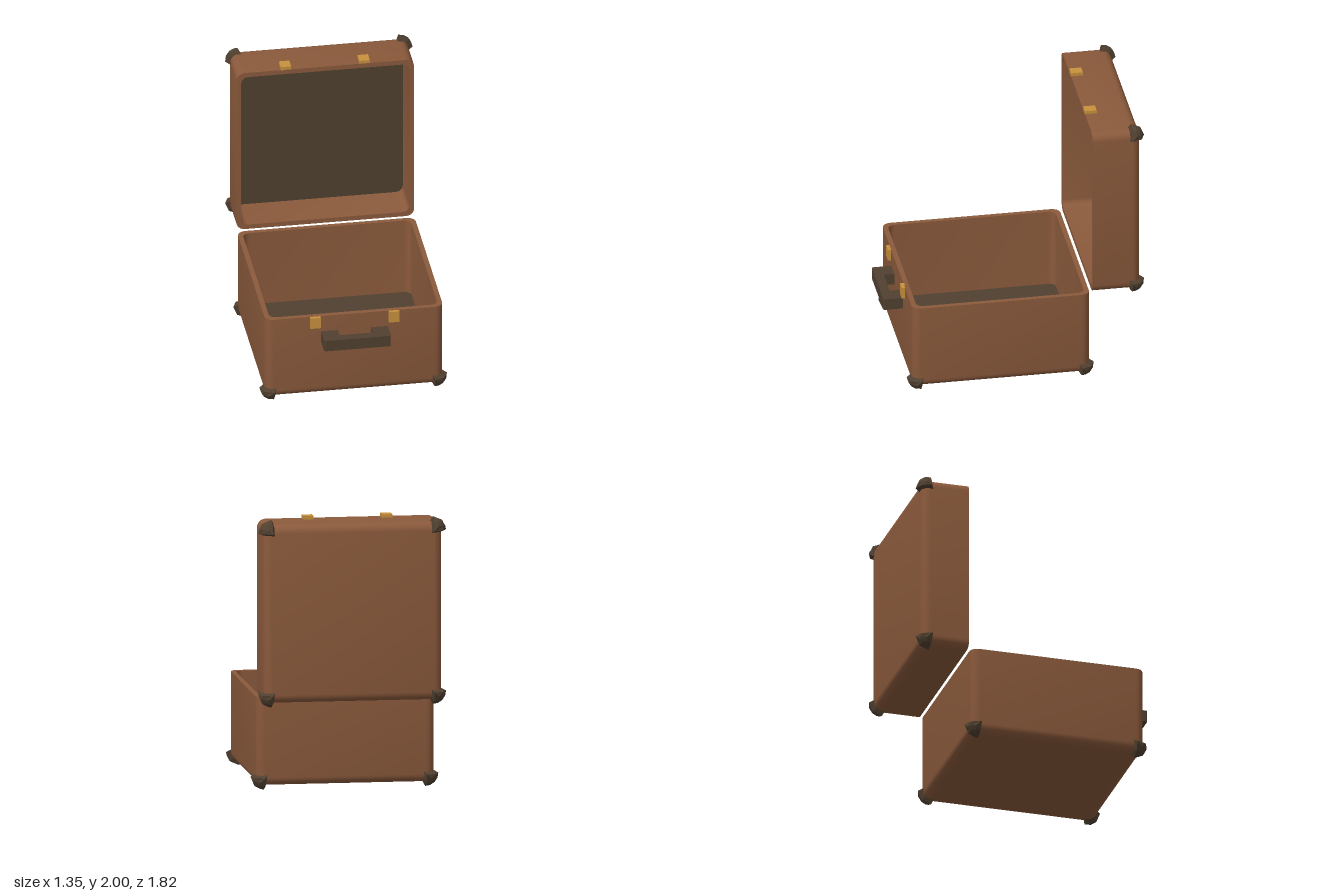
import * as THREE from 'three';
import { toCreasedNormals } from 'three/addons/utils/BufferGeometryUtils.js';

const HALF = 0.64;   // half width of both halves of the case
const R = 0.06;      // outer edge radius
const WALL = 0.035;

const leather = new THREE.MeshStandardMaterial({ color: 0x8b5a3c });
const dark = new THREE.MeshStandardMaterial({ color: 0x504030 });
const darkFlat = new THREE.MeshStandardMaterial({ color: 0x504030, flatShading: true });
const brass = new THREE.MeshStandardMaterial({ color: 0xc8903c });

function add(group, name, geometry, material, x = 0, y = 0, z = 0) {
  const mesh = new THREE.Mesh(geometry, material);
  mesh.name = name;
  mesh.position.set(x, y, z);
  group.add(mesh);
  return mesh;
}

// Skin a series of closed rings, skipping collapsed triangles
function loft(rings) {
  const points = [];
  const tri = new THREE.Triangle();
  const face = (a, b, c) => {
    if (tri.set(a, b, c).getArea() > 1e-9) points.push(a, b, c);
  };
  for (let i = 0; i < rings.length - 1; i++) {
    const p = rings[i], q = rings[i + 1];
    for (let j = 0; j < p.length; j++) {
      const k = (j + 1) % p.length;
      face(p[j], q[j], p[k]);
      face(p[k], q[j], q[k]);
    }
  }
  const geometry = new THREE.BufferGeometry().setFromPoints(points);
  geometry.computeVertexNormals();
  return geometry;
}

// Horizontal rounded square
function ring([inset, radius, y]) {
  const c = HALF - inset - radius, pts = [];
  for (let q = 0; q < 4; q++) {
    const mid = (q + 0.5) * Math.PI / 2;
    for (let s = 0; s <= 5; s++) {
      const a = (q + s / 5) * Math.PI / 2;
      pts.push(new THREE.Vector3(
        Math.sign(Math.cos(mid)) * c + radius * Math.cos(a), y,
        Math.sign(Math.sin(mid)) * c + radius * Math.sin(a)));
    }
  }
  return pts;
}

// Faceted corner guard: an eighth of a ball with a bevelled rim
function cornerGeometry() {
  const axes = [new THREE.Vector3(1, 0, 0), new THREE.Vector3(0, 1, 0), new THREE.Vector3(0, 0, 1)];
  const centre = new THREE.Vector3(1, 1, 1).normalize();
  const rim = [];
  axes.forEach((axis, i) => {
    for (let s = 0; s < 2; s++) rim.push(axis.clone().lerp(axes[(i + 1) % 3], s / 2).normalize());
  });
  const rings = [0, 0.5, 1].map(t =>
    rim.map(v => centre.clone().lerp(v, t).normalize().multiplyScalar(0.095)));
  rings.push(rim.map(v => v.clone().multiplyScalar(0.076).addScalar(-0.02)));
  return loft(rings).rotateX(Math.PI / 2);
}

// One half of the case: open-topped tray with lining, corner guards and latches
function caseHalf(name, height, latchSide) {
  const group = new THREE.Group();
  group.name = name;
  const profile = [[HALF, 0, 0]];
  for (let s = 0; s <= 5; s++) {
    const a = s / 5 * Math.PI / 2;
    const inset = R * (1 - Math.sin(a));
    profile.push([inset, R - inset, R * (1 - Math.cos(a))]);
  }
  profile.push([0, R, height], [WALL, 0.05, height], [WALL, 0.05, 0.045], [HALF, 0, 0.045]);
  add(group, name + 'Shell', toCreasedNormals(loft(profile.map(ring)), 0.6), leather);

  const lining = [[WALL, 0.05, 0.045], [WALL, 0.05, 0.055], [HALF, 0, 0.055]];
  add(group, name + 'Lining', toCreasedNormals(loft(lining.map(ring)), 0.6), dark);

  const corner = cornerGeometry();
  const c = HALF - R;
  [[1, 1], [1, -1], [-1, -1], [-1, 1]].forEach(([x, z], i) => {
    add(group, 'cornerGuard', corner, darkFlat, x * c, R, z * c).rotation.y = i * Math.PI / 2;
  });

  for (const side of [-1, 1]) {
    add(group, 'latch', new THREE.BoxGeometry(0.075, 0.085, 0.03), brass,
      side * 0.283, height - 0.0425, latchSide * (HALF + 0.009));
  }
  return group;
}

// Flat U-shaped carrying handle
function handleGeometry() {
  const s = new THREE.Shape();
  s.moveTo(-0.24, 0);
  s.lineTo(-0.24, 0.127);
  s.quadraticCurveTo(-0.24, 0.142, -0.225, 0.142);
  s.lineTo(0.225, 0.142);
  s.quadraticCurveTo(0.24, 0.142, 0.24, 0.127);
  s.lineTo(0.24, 0);
  s.lineTo(0.12, 0);
  s.lineTo(0.12, 0.075);
  s.lineTo(-0.12, 0.075);
  s.lineTo(-0.12, 0);
  const geometry = new THREE.ExtrudeGeometry(s, { depth: 0.085, bevelEnabled: false, curveSegments: 4 });
  return geometry.rotateX(Math.PI / 2);
}

export function createModel() {
  const model = new THREE.Group();
  model.name = 'openCase';

  const base = caseHalf('base', 0.64, 1);
  base.position.set(0, 0.04, 0.13);
  add(base, 'handle', handleGeometry(), dark, 0, 0.515, HALF);

  // Lid stands upright behind the base, opening to the front
  const lid = caseHalf('lid', 0.345, -1);
  lid.rotation.x = Math.PI / 2;
  lid.position.set(0, 1.325, -0.873);

  model.add(base, lid);
  return model;
}
